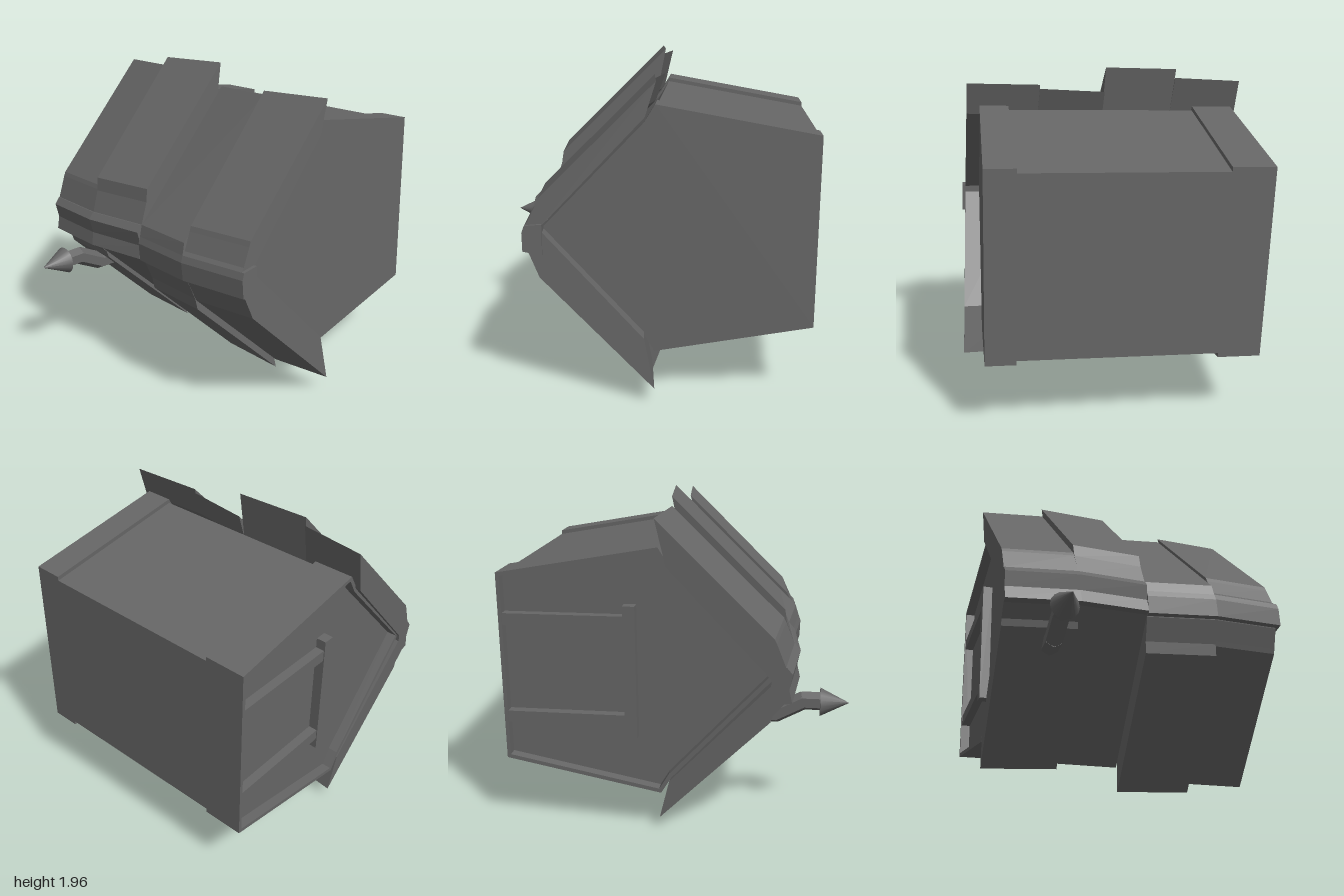
import * as THREE from 'three';

const material = new THREE.MeshStandardMaterial({ color: 0x666666, flatShading: true, side: THREE.DoubleSide });

// Planks and ridge bulge forward at the middle of each half of the roof.
const bulge = (x) => 0.04 * (1 - Math.abs(Math.abs(x) - 0.42) / 0.42);

const toShape = (section) => section.map(([z, y]) => new THREE.Vector2(-z, y));

// Extrudes a [z, y] section along x, optionally with a hole.
function slab(name, section, x0, x1, hole) {
  const shape = new THREE.Shape(toShape(section));
  if (hole) shape.holes.push(new THREE.Path(toShape(hole)));
  const geometry = new THREE.ExtrudeGeometry(shape, { depth: x1 - x0, bevelEnabled: false });
  geometry.rotateY(Math.PI / 2).translate(x0, -1, 0);
  const mesh = new THREE.Mesh(geometry, material);
  mesh.name = name;
  return mesh;
}

// Slab that follows the bulge, its inner seams leaning a little more.
function warpedSlab(name, section, x0, x1) {
  const mesh = slab(name, section, x0, x1);
  const p = mesh.geometry.attributes.position;
  for (let i = 0; i < p.count; i++) {
    const b = bulge(p.getX(i));
    p.setZ(i, p.getZ(i) + b);
    p.setX(i, p.getX(i) - 0.75 * Math.max(b, 0) * p.getY(i));
  }
  mesh.geometry.computeVertexNormals();
  return mesh;
}

function box(name, w, h, d, x, y, z) {
  const mesh = new THREE.Mesh(new THREE.BoxGeometry(w, h, d), material);
  mesh.name = name;
  mesh.position.set(x, y - 1, z);
  return mesh;
}

// Six-sided rod between two points.
function rod(name, from, to, radius) {
  const a = new THREE.Vector3(...from), b = new THREE.Vector3(...to);
  const dir = b.clone().sub(a);
  const mesh = new THREE.Mesh(new THREE.CylinderGeometry(radius, radius, dir.length() + 0.02, 6), material);
  mesh.name = name;
  mesh.position.copy(a).add(b).multiplyScalar(0.5);
  mesh.quaternion.setFromUnitVectors(new THREE.Vector3(0, 1, 0), dir.normalize());
  return mesh;
}

// Wall outline, shrunk at floor and ceiling by an inset.
const wall = (inset) => [
  [0.57, 1], [-0.02, 1.62 - inset], [-0.08, 1.72 - inset], [-1, 1.56 - inset],
  [-1, 0.44 + inset], [-0.08, 0.26 + inset], [-0.02, 0.36 + inset],
];

// Plank section for the upper slope: raised board, step, ridge edge, underside.
function plankSection(top, stepY, drop, ridgeY) {
  const z = top - 0.09 - stepY;
  const step = drop ? [[z, stepY], [z + 0.012, stepY - drop]] : [];
  return [[-0.09, top], ...step, [0.63, ridgeY], [0.65, 1.02], [0.57, 1], [-0.03, 1.64]];
}

export function createModel() {
  const model = new THREE.Group();
  model.name = 'tiltedHut';

  // Body, leaning slightly sideways
  const body = new THREE.Group();
  body.name = 'body';
  body.position.y = 1;
  body.rotation.z = 0.03;
  const opening = wall(0).map(([z, y]) => [-0.4 + (z + 0.4) * 0.965, 1 + (y - 1) * 0.965]);
  body.add(
    slab('middleBody', wall(0.025), -0.6, 0.57),
    slab('leftEndWall', wall(0), 0.57, 0.745),
    slab('rightEndWall', wall(0), -0.768, -0.58),
    slab('rightEndRim', wall(0), -0.828, -0.768, opening),
  );

  // Rails and post set inside the rim of the right end wall
  for (const y of [1.29, 0.7]) body.add(box('rail', 0.055, 0.07, 0.7, -0.795, y, -0.63));
  body.add(box('post', 0.06, 0.79, 0.07, -0.798, 0.99, -0.25));
  model.add(body);

  // Roof, leaning a little more than the body
  const roof = new THREE.Group();
  roof.name = 'roof';
  roof.position.y = 1;
  roof.rotation.z = 0.055;
  const edges = [-0.848, -0.42, 0, 0.42, 0.84];
  // Top, step height, step drop, ridge edge height
  const upper = [[1.905, 1.25, 0.025, 1.09], [1.96, 1.3, 0.08, 1.09], [1.81, 0, 0, 1.09], [1.835, 1.175, 0.03, 1.04]];
  const lower = [[1.88, 1.24, 0.04, 1.12], [1.845, 0, 0, 1.125], [2.0, 1.345, 0.07, 1.14], [1.945, 1.285, 0.03, 1.14]];
  // Ridge cap: dented on the right half, plain on the left half
  const dentedCap = [[0.55, 1.1], [0.635, 1.09], [0.668, 1.05], [0.65, 0.96], [0.668, 0.88], [0.55, 0.86]];
  const plainCap = [[0.55, 1.03], [0.65, 1.02], [0.665, 0.98], [0.662, 0.87], [0.55, 0.85]];
  for (let i = 0; i < 4; i++) {
    const [x0, x1] = [edges[i], edges[i + 1]];
    const mirrored = plankSection(...lower[i]).map(([z, y]) => [z, 2 - y]);
    roof.add(
      warpedSlab('upperPlank', plankSection(...upper[i]), x0, x1),
      warpedSlab('lowerPlank', mirrored, x0, x1),
      warpedSlab('ridgeCap', i < 2 ? dentedCap : plainCap, x0, i === 3 ? 0.86 : x1),
    );
  }
  model.add(roof);

  // Bent spike with a cone tip
  const spike = new THREE.Group();
  spike.name = 'spike';
  const path = [[-0.535, 0.66, 0.48], [-0.535, 0.665, 0.57], [-0.535, 0.75, 0.73], [-0.535, 0.75, 0.84]];
  for (let i = 0; i < 3; i++) spike.add(rod('spikeShaft', path[i], path[i + 1], 0.056));
  const smooth = new THREE.MeshStandardMaterial({ color: 0x666666 });
  const tip = new THREE.Mesh(new THREE.ConeGeometry(0.084, 0.17, 16), smooth);
  tip.name = 'spikeTip';
  tip.rotation.x = Math.PI / 2;
  tip.position.set(-0.54, 0.748, 0.915);
  spike.add(tip);
  model.add(spike);

  return model;
}
